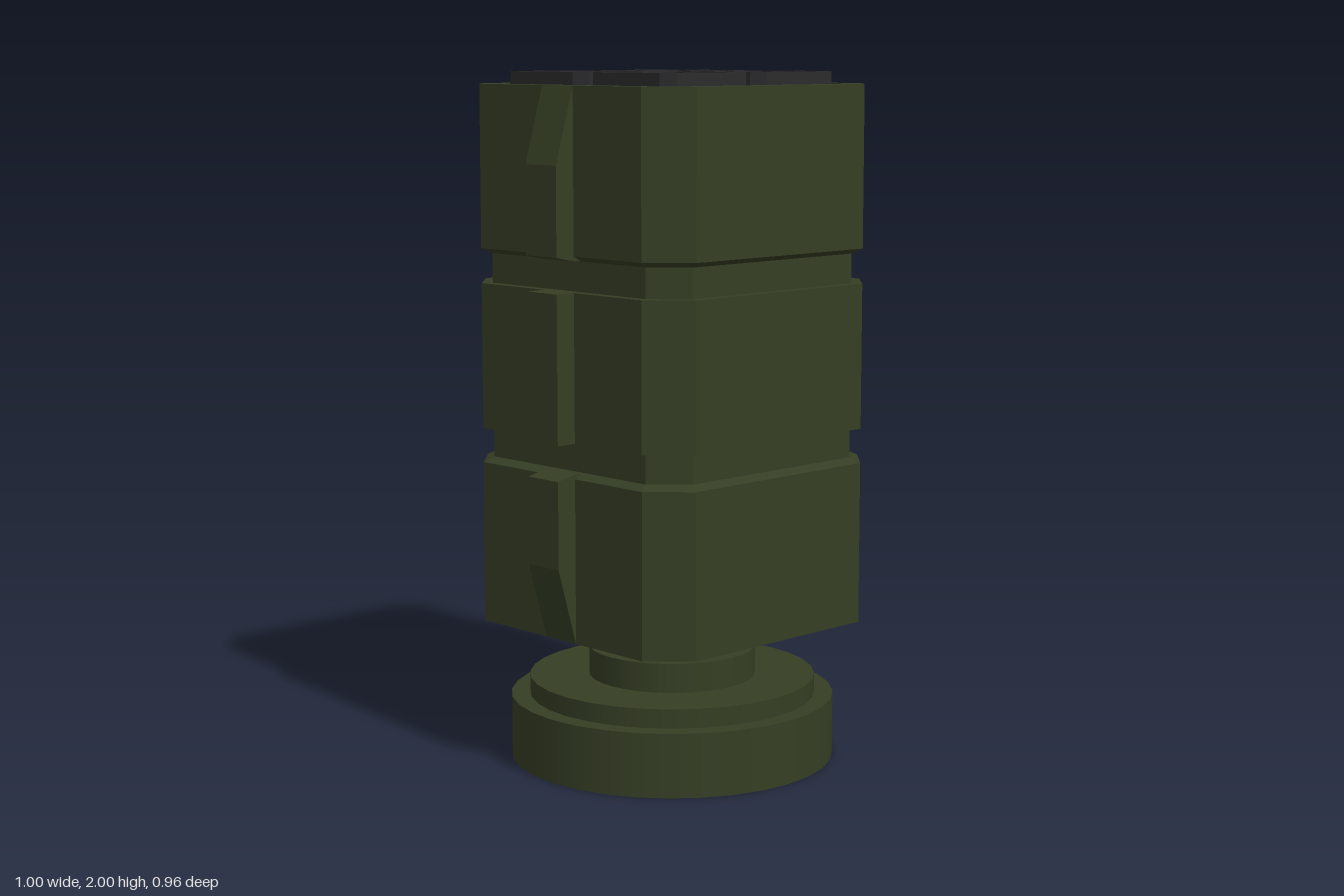
import * as THREE from 'three';

const mat = (color, flatShading = true) => new THREE.MeshStandardMaterial({ color, flatShading });
const GREEN = 0x353e24, DARK = 0x2b2b2d, BLACK = 0x0d0d0d;

// corners of a square of given half-width with chamfered corners, at height y
function octagon([y, half, chamfer]) {
  const e = half - chamfer;
  return [[half, -e], [half, e], [e, half], [-e, half], [-half, e], [-half, -e], [-e, -half], [e, -half]]
    .map(([x, z]) => [x, y, z]);
}

// skin over a stack of chamfered squares, each [y, half, chamfer]
function loft(sections) {
  const pos = [];
  for (let i = 0; i < sections.length - 1; i++) {
    const lo = octagon(sections[i]), hi = octagon(sections[i + 1]);
    for (let j = 0; j < 8; j++) {
      const k = (j + 1) % 8;
      pos.push(...lo[j], ...hi[j], ...hi[k], ...lo[j], ...hi[k], ...lo[k]);
    }
  }
  const g = new THREE.BufferGeometry();
  g.setAttribute('position', new THREE.Float32BufferAttribute(pos, 3));
  g.computeVertexNormals();
  return g;
}

export function createModel() {
  const model = new THREE.Group();
  const green = mat(GREEN), smoothGreen = mat(GREEN, false), dark = mat(DARK), black = mat(BLACK);
  const add = (name, geometry, material, x = 0, y = 0, z = 0) => {
    const m = new THREE.Mesh(geometry, material);
    m.name = name;
    m.position.set(x, y, z);
    model.add(m);
    return m;
  };

  // round stepped base
  [['baseDisc', 0.475, 0, 0.185], ['baseStep', 0.42, 0.185, 0.24], ['baseHub', 0.245, 0.24, 0.325]]
    .forEach(([name, r, y0, y1]) =>
      add(name, new THREE.CylinderGeometry(r, r, y1 - y0, 32), smoothGreen, 0, (y0 + y1) / 2, 0));

  // post and plate carrying the body
  add('post', loft([[0.32, 0.139, 0.081], [0.39, 0.139, 0.081]]), dark);
  add('bottomPlate', loft([[0.385, 0, 0], [0.385, 0.31, 0.07], [0.415, 0.31, 0.07]]), green);

  // body: three blocks, two necks and the recess at the top
  const B = [0.437, 0.104], N = [0.408, 0.09], R = [0.372, 0.065];
  add('body', loft([
    [0.41, 0, 0], [0.41, ...B], [0.88, ...B], [0.895, ...N],
    [0.98, ...N], [0.98, ...B], [1.4, ...B], [1.4, ...N],
    [1.485, ...N], [1.5, ...B], [1.965, ...B], [1.965, ...R],
    [1.89, ...R], [1.89, 0, 0],
  ]), green);

  // ribs, each profile as [outward, height]
  const sideRibs = [
    [[0.4, 0.41], [0.437, 0.41], [0.5, 0.63], [0.5, 0.88], [0.437, 0.893], [0.4, 0.893]],
    [[0.4, 0.98], [0.5, 0.98], [0.5, 1.4], [0.4, 1.4]],
    [[0.4, 1.487], [0.437, 1.487], [0.5, 1.5], [0.5, 1.75], [0.437, 1.965], [0.4, 1.965]],
  ];
  const backRibs = [
    [[0.4, 0.41], [0.486, 0.41], [0.486, 0.88], [0.45, 0.893], [0.4, 0.893]],
    [[0.4, 0.98], [0.486, 0.98], [0.486, 1.4], [0.4, 1.4]],
    [[0.4, 1.487], [0.45, 1.487], [0.486, 1.5], [0.486, 1.84], [0.437, 1.965], [0.4, 1.965]],
  ];
  const addRibs = (name, profiles, angle) => profiles.forEach((p, i) => {
    const shape = new THREE.Shape(p.map(([x, y]) => new THREE.Vector2(x, y)));
    const g = new THREE.ExtrudeGeometry(shape, { depth: 0.126, bevelEnabled: false }).translate(0, 0, -0.063);
    add(name + (i + 1), g, green).rotation.y = angle;
  });
  addRibs('leftRib', sideRibs, 0);
  addRibs('rightRib', sideRibs, Math.PI);
  addRibs('backRib', backRibs, Math.PI / 2);

  // four square launch tubes with dark floors
  const tube = loft([
    [1.88, 0.165, 0.033], [2, 0.165, 0.033], [2, 0.142, 0.023], [1.9, 0.142, 0.023],
  ]);
  const floor = loft([[1.9, 0.15, 0.025], [1.9, 0, 0]]);
  for (const sx of [-1, 1]) for (const sz of [-1, 1]) {
    const name = (sz > 0 ? 'front' : 'back') + (sx > 0 ? 'Left' : 'Right');
    add(name + 'Tube', tube, dark, sx * 0.174 - 0.005, 0, sz * 0.174);
    add(name + 'TubeFloor', floor, black, sx * 0.174 - 0.005, 0, sz * 0.174);
  }

  model.children.forEach((m) => { m.position.z += 0.004; });
  return model;
}
